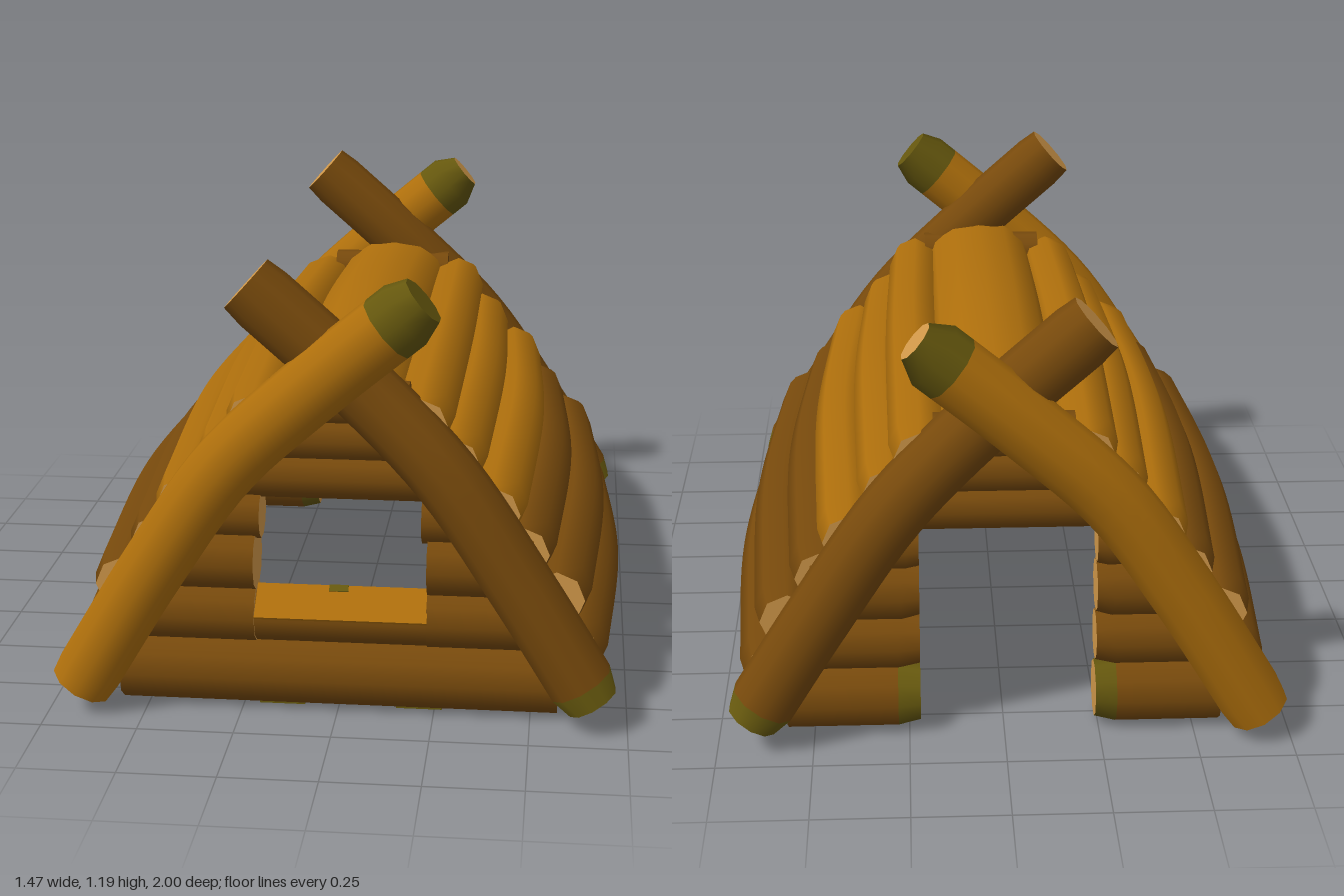
import * as THREE from 'three';

const mat = (name, color) => Object.assign(new THREE.MeshStandardMaterial({ color }), { name });

export function createModel() {
  const wood = mat('bark brown', 0xae6f0c);
  const dark = mat('dark bark brown', 0x784a0c);
  const cut = mat('cut wood tan', 0xd2994a);
  const moss = mat('moss olive', 0x66580e);
  const model = new THREE.Group();
  model.name = 'logHut';

  // A log: a smooth tube along a curve, with flat end caps and optional mossy, narrowed ends
  function log(name, points, r, o = {}) {
    const { bark = wood, sides = 8, segs = 20, capA = cut, capB = cut } = o;
    const { mossA = 0, mossB = 0, taperA = 1, taperB = 1 } = o;
    const curve = new THREE.CatmullRomCurve3(points.map(p => new THREE.Vector3(...p)));
    const geo = new THREE.TubeGeometry(curve, segs, r, sides);
    const pos = geo.attributes.position;
    const v = new THREE.Vector3();
    [[0, taperA], [segs, taperB]].forEach(([ring, f]) => {
      const c = curve.getPointAt(ring / segs);
      for (let i = 0; i <= sides; i++) {
        const k = ring * (sides + 1) + i;
        v.fromBufferAttribute(pos, k).sub(c).multiplyScalar(f).add(c);
        pos.setXYZ(k, v.x, v.y, v.z);
      }
    });
    const per = sides * 6;
    geo.addGroup(0, mossA * per, 1);
    geo.addGroup(mossA * per, (segs - mossA - mossB) * per, 0);
    geo.addGroup((segs - mossB) * per, mossB * per, 1);
    const g = new THREE.Group();
    g.name = name;
    const body = new THREE.Mesh(geo, [bark, moss]);
    body.name = name + 'Bark';
    g.add(body);
    [[0, capA], [segs, capB]].forEach(([ring, m]) => {
      const c = curve.getPointAt(ring / segs);
      const verts = [c.x, c.y, c.z];
      const idx = [];
      for (let i = 0; i <= sides; i++) {
        v.fromBufferAttribute(pos, ring * (sides + 1) + i);
        verts.push(v.x, v.y, v.z);
        if (i < sides) idx.push(0, ...(ring ? [i + 2, i + 1] : [i + 1, i + 2]));
      }
      const cg = new THREE.BufferGeometry();
      cg.setAttribute('position', new THREE.Float32BufferAttribute(verts, 3));
      cg.setIndex(idx);
      cg.computeVertexNormals();
      const cap = new THREE.Mesh(cg, m);
      cap.name = name + 'End';
      g.add(cap);
    });
    model.add(g);
    return g;
  }

  // Roof logs on both slopes, bowed outwards in the middle: [x, y, radius, half length]
  const rows = [
    [0.605, 0.165, 0.088, 0.80], [0.56, 0.325, 0.087, 0.82], [0.468, 0.437, 0.086, 0.80],
    [0.393, 0.552, 0.085, 0.83], [0.29, 0.668, 0.084, 0.80], [0.21, 0.78, 0.082, 0.83],
  ];
  rows.forEach(([x, y, r, h], i) => {
    const a = (i / 6) * Math.PI / 2;
    const bx = 0.042 * Math.cos(a), by = 0.028 * Math.sin(a);
    for (const s of [1, -1]) {
      log(s > 0 ? 'leftRoofLog' : 'rightRoofLog',
        [[s * x, y, -h], [s * (x + bx), y + by, 0], [s * x, y, h]], r,
        { bark: i < 3 ? dark : wood, taperA: 0.85, taperB: 0.85 });
    }
  });

  // Wide ridge log
  log('ridgeLog', [[0.006, 0.805, -0.8], [0.006, 0.843, 0], [0.006, 0.805, 0.8]], 0.107,
    { sides: 12 }).scale.x = 1.5;

  // End walls: [y, radius, half length]; logs are split around the window and the doorway
  const wall = [
    [0.09, 0.09, 0.57], [0.25, 0.08, 0.56], [0.395, 0.083, 0.5], [0.52, 0.066, 0.42],
    [0.63, 0.063, 0.33], [0.73, 0.063, 0.25], [0.82, 0.06, 0.18],
  ];
  const Z = 0.78;
  const bar = (name, y, r, x0, x1, z, o) => log(name, [[x0, y, z], [x1, y, z]], r,
    { bark: dark, capA: dark, capB: dark, sides: 10, segs: 6, ...o });
  wall.forEach(([y, r, h], i) => {
    if (i >= 1 && i <= 3) {
      const w = i === 3 ? 0.21 : 0.225;
      bar('frontWallLog', y, r, -h, -w + 0.01, Z, { capB: cut });
      bar('frontWallLog', y, r, w + 0.005, h, Z, { capA: cut });
    } else bar('frontWallLog', y, r, -h, h, Z);
    if (i <= 3) {
      const low = i === 0;
      bar('backWallLog', y, r, -h, -0.24, -Z, { capB: cut, mossB: low ? 1 : 0, taperB: 0.85 });
      bar('backWallLog', y, r, 0.22, h, -Z, { capA: cut, mossA: low ? 1 : 0, taperA: 0.85 });
    } else bar('backWallLog', y, r, -h, h, -Z);
  });

  // Window sill: log hewn to a sloping face, with a mossy nick; mossy patches under the front wall
  bar('sillLog', 0.245, 0.072, -0.22, 0.235, Z);
  const plate = (name, m, w, d, x, y, z, tilt) => {
    const p = new THREE.Mesh(new THREE.BoxGeometry(w, 0.008, d), m);
    p.name = name;
    p.position.set(x, y, z);
    p.rotation.x = tilt;
    model.add(p);
  };
  plate('sillFace', wood, 0.445, 0.105, 0.01, 0.295, Z + 0.049, 0.65);
  plate('sillMoss', moss, 0.05, 0.02, 0, 0.323, Z + 0.016, 0.65);
  for (const x of [-0.15, 0.21]) plate('wallMoss', moss, 0.12, 0.056, x, 0.004, Z, 0);

  // Crossed, slightly bent poles at both ends
  for (const s of [1, -1]) {
    log('outerCrossPole', [
      [-0.67, 0.065, s * 0.868], [-0.455, 0.42, s * 0.88], [-0.275, 0.68, s * 0.89],
      [-0.06, 0.885, s * 0.903], [0.222, 1.122, s * 0.913],
    ], 0.089, {
      sides: 10, segs: 24, capA: moss, capB: s > 0 ? moss : cut, mossB: 2,
      taperA: 0.93, taperB: s > 0 ? 0.75 : 0.62,
    });
    log('innerCrossPole', [
      [0.66, 0.075, s * 0.885], [0.475, 0.37, s * 0.872], [0.28, 0.655, s * 0.858],
      [0.06, 0.88, s * 0.835], [-0.225, 1.135, s * 0.83],
    ], 0.087, { bark: dark, sides: 10, segs: 24, capA: moss, mossA: 1, taperA: 0.8, taperB: 0.93 });
  }
  return model;
}
